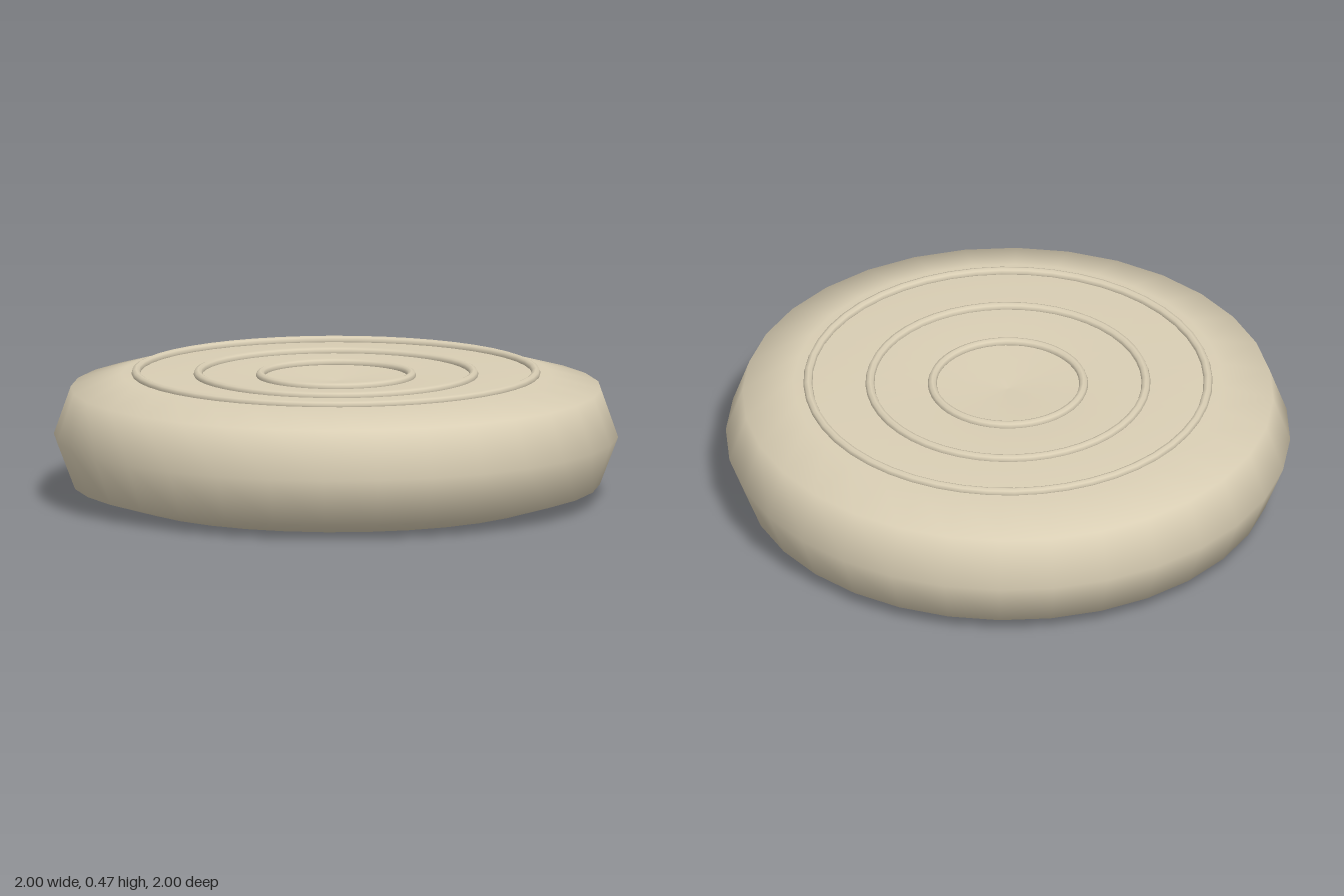
import * as THREE from 'three';

export function createModel() {
  const group = new THREE.Group();
  const material = new THREE.MeshStandardMaterial({ color: 0xd9ceb4 });

  // Rounded disc with a flat base and a slightly dished top
  const profile = [
    [0, 0], [0.75, 0], [0.935, 0.055], [1, 0.225],
    [0.94, 0.395], [0.76, 0.445], [0.3, 0.438], [0, 0.42],
  ].map(([r, y]) => new THREE.Vector2(r, y));
  const body = new THREE.Mesh(new THREE.LatheGeometry(profile, 32), material);
  body.name = 'body';
  group.add(body);

  // Three concentric raised rings following the dish: [radius, height]
  const rings = [[0.268, 0.441], [0.489, 0.445], [0.709, 0.449]];
  rings.forEach(([radius, y], i) => {
    const geometry = new THREE.TorusGeometry(radius, 0.016, 8, 48);
    geometry.rotateX(-Math.PI / 2);
    const ring = new THREE.Mesh(geometry, material);
    ring.name = ['innerRing', 'middleRing', 'outerRing'][i];
    ring.position.y = y;
    group.add(ring);
  });

  return group;
}
